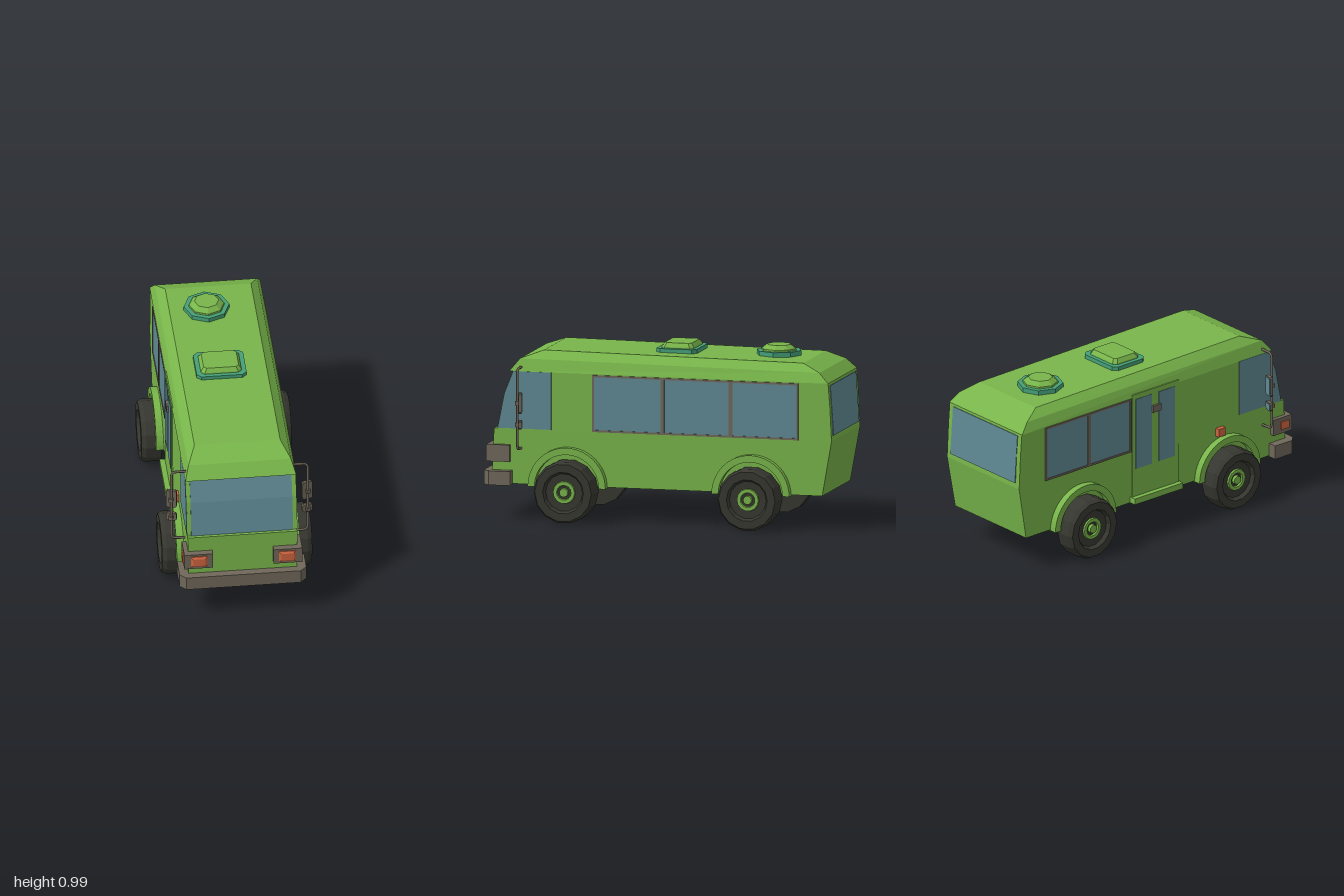
import * as THREE from 'three';

const mat = (name, color, side = THREE.FrontSide) => {
  const m = new THREE.MeshStandardMaterial({ color, side });
  m.name = name;
  return m;
};

export function createModel() {
  const bus = new THREE.Group();
  bus.name = 'bus';
  const green = mat('green paint', 0x78b54a, THREE.DoubleSide);
  const teal = mat('teal trim', 0x45a078);
  const glass = mat('blue glass', 0x5f8993);
  const brown = mat('brown trim', 0x6f675a);
  const rubber = mat('dark rubber', 0x373731);
  const orange = mat('orange lamp', 0xcf6540);

  const add = (name, geo, material, parent = bus) => {
    const m = new THREE.Mesh(geo, material);
    m.name = name;
    parent.add(m);
    return m;
  };
  // box given by its minimum and maximum on each axis
  const box = (name, material, [x0, x1], [y0, y1], [z0, z1], parent = bus) =>
    add(name, new THREE.BoxGeometry(x1 - x0, y1 - y0, z1 - z0)
      .translate((x0 + x1) / 2, (y0 + y1) / 2, (z0 + z1) / 2), material, parent);

  // flat-shaded loft through stacked rings, closed on top
  function loft(rings) {
    const out = [];
    const n = rings[0].length;
    for (let r = 0; r + 1 < rings.length; r++) {
      for (let i = 0; i < n; i++) {
        const j = (i + 1) % n, a = rings[r], b = rings[r + 1];
        out.push(...a[i], ...a[j], ...b[j], ...a[i], ...b[j], ...b[i]);
      }
    }
    const top = rings[rings.length - 1];
    for (let i = 1; i + 1 < n; i++) out.push(...top[0], ...top[i], ...top[i + 1]);
    const g = new THREE.BufferGeometry();
    g.setAttribute('position', new THREE.Float32BufferAttribute(out, 3));
    g.computeVertexNormals();
    return g;
  }
  // side profile of [z, y] points extruded from x0 to x1
  function extrudeX(shape, x0, x1) {
    const s = Array.isArray(shape) ? new THREE.Shape(shape.map(p => new THREE.Vector2(...p))) : shape;
    return new THREE.ExtrudeGeometry(s, { depth: x1 - x0, bevelEnabled: false, curveSegments: 12 })
      .rotateY(-Math.PI / 2).translate(x1, 0, 0);
  }
  // thin plate mounted on a side wall; side is +1 or -1
  const sidePlate = (name, material, side, shape, inner, outer) =>
    add(name, side > 0 ? extrudeX(shape, inner, outer) : extrudeX(shape, -outer, -inner), material);
  const rect = (z0, z1, y0, y1) => [[z0, y0], [z1, y0], [z1, y1], [z0, y1]];

  // body shell, open underneath: [y front, y back, z front, z back, half width]
  const levels = [
    [0.2, 0.2, 0.96, -0.945, 0.302], [0.51, 0.51, 0.945, -1, 0.307], [0.51, 0.51, 0.925, -1, 0.307],
    [0.71, 0.71, 0.885, -0.99, 0.307], [0.835, 0.835, 0.835, -0.98, 0.307], [0.835, 0.835, 0.856, -0.98, 0.31],
    [0.905, 0.89, 0.8, -0.925, 0.287], [0.95, 0.935, 0.675, -0.82, 0.24],
  ];
  add('body', loft(levels.map(([yf, yb, zf, zb, w]) =>
    [[-w, yf, zf], [w, yf, zf], [w, yb, zb], [-w, yb, zb]])), green);

  // windscreen and rear window
  add('windscreen', extrudeX([[0.931, 0.512], [0.89, 0.71], [0.84, 0.834], [0.831, 0.834],
    [0.881, 0.71], [0.921, 0.512]], -0.285, 0.285), glass);
  add('rearWindow', extrudeX([[-0.994, 0.54], [-0.975, 0.82], [-0.985, 0.82], [-1.004, 0.54]],
    -0.275, 0.275), glass);

  // side glazing with framed panes
  function windowRow(side, edges) {
    const [z0, z1] = [edges[0], edges[edges.length - 1]];
    const frame = new THREE.Shape(rect(z0, z1, 0.51, 0.83).map(p => new THREE.Vector2(...p)));
    for (let i = 0; i + 1 < edges.length; i++) {
      const a = edges[i] + 0.011, b = edges[i + 1] - 0.011;
      frame.holes.push(new THREE.Path(rect(a, b, 0.521, 0.819).map(p => new THREE.Vector2(...p))));
    }
    sidePlate('windowFrame', brown, side, frame, 0.303, 0.314);
    sidePlate('sideWindow', glass, side, rect(z0 + 0.005, z1 - 0.005, 0.515, 0.825), 0.302, 0.31);
  }
  windowRow(1, [-0.81, -0.42, -0.027, 0.378]);
  windowRow(-1, [-0.81, -0.49, -0.18]);
  for (const side of [1, -1]) {
    sidePlate('cabWindow', glass, side,
      [[0.615, 0.512], [0.921, 0.512], [0.882, 0.71], [0.833, 0.834], [0.615, 0.834]], 0.302, 0.31);
  }

  // entrance door, step and stair well on the right
  box('stairWell', green, [-0.3, 0], [0.2, 0.84], [-0.18, 0.17]);
  box('doorStep', green, [-0.342, -0.3], [0.2, 0.235], [-0.18, 0.175]);
  sidePlate('door', green, -1, rect(-0.17, 0.17, 0.235, 0.85), 0.304, 0.312);
  sidePlate('doorPane', glass, -1, rect(-0.15, -0.03, 0.4, 0.82), 0.308, 0.315);
  sidePlate('doorPane', glass, -1, rect(0.02, 0.14, 0.4, 0.82), 0.308, 0.315);
  box('doorHandle', brown, [-0.326, -0.31], [0.71, 0.75], [-0.03, 0.03]);

  // wheels and arches
  const tyreProfile = [[0, 0.306], [0.176, 0.308], [0.176, 0.395], [0.163, 0.42], [0.118, 0.42], [0.106, 0.396], [0, 0.39]];
  const rimProfile = [[0.066, 0.388], [0.062, 0.404], [0.042, 0.404], [0.038, 0.388]];
  const capProfile = [[0.026, 0.388], [0.024, 0.41], [0, 0.41]];
  const lathe = pts => {
    const g = new THREE.LatheGeometry(pts.map(p => new THREE.Vector2(...p)), 14).toNonIndexed();
    g.rotateZ(-Math.PI / 2).computeVertexNormals();
    return g;
  };
  for (const z of [0.517, -0.542]) {
    const arch = new THREE.Shape();
    arch.absarc(z, 0.195, 0.224, 0, Math.PI, false);
    arch.absarc(z, 0.195, 0.185, Math.PI, 0, true);
    for (const side of [1, -1]) {
      sidePlate('wheelArch', green, side, arch, 0.295, 0.345);
      const wheel = new THREE.Group();
      wheel.name = 'wheel';
      wheel.position.set(0, 0.176, z);
      if (side < 0) wheel.rotation.y = Math.PI;
      add('tyre', lathe(tyreProfile), rubber, wheel);
      add('rim', lathe(rimProfile), green, wheel);
      add('hubCap', lathe(capProfile), green, wheel);
      bus.add(wheel);
    }
  }

  // bumper wrapped around the nose
  const bumper = new THREE.Shape([[-0.355, 0.84], [-0.355, 0.965], [-0.32, 1], [0.32, 1], [0.355, 0.965],
    [0.355, 0.84], [0.3, 0.84], [0.3, 0.94], [-0.3, 0.94], [-0.3, 0.84]].map(([x, z]) => new THREE.Vector2(x, -z)));
  add('bumper', new THREE.ExtrudeGeometry(bumper, { depth: 0.08, bevelEnabled: false })
    .rotateX(-Math.PI / 2).translate(0, 0.195, 0), brown);

  // headlights with bevelled lenses, and mirrors
  for (const side of [1, -1]) {
    const xs = (a, b) => side > 0 ? [a, b] : [-b, -a];
    box('headlightBox', brown, xs(0.17, 0.33), [0.325, 0.42], [0.85, 0.985]);
    const lens = (w, h, z) => [[-w, -h, z], [w, -h, z], [w, h, z], [-w, h, z]];
    add('headlightLens', loft([lens(0.047, 0.034, 0.984), lens(0.047, 0.034, 0.99), lens(0.034, 0.022, 0.998)])
      .translate(side * 0.247, 0.374, 0), orange);

    const path = new THREE.CurvePath();
    const pts = [[0.3, 0.858], [0.355, 0.858], [0.382, 0.83], [0.382, 0.44], [0.36, 0.405], [0.3, 0.402]]
      .map(([x, y]) => new THREE.Vector3(side * x, y, 0.79));
    path.add(new THREE.LineCurve3(pts[0], pts[1]));
    path.add(new THREE.QuadraticBezierCurve3(pts[1], new THREE.Vector3(side * 0.382, 0.858, 0.79), pts[2]));
    path.add(new THREE.LineCurve3(pts[2], pts[3]));
    path.add(new THREE.QuadraticBezierCurve3(pts[3], new THREE.Vector3(side * 0.382, 0.405, 0.79), pts[4]));
    path.add(new THREE.LineCurve3(pts[4], pts[5]));
    add('mirrorArm', new THREE.TubeGeometry(path, 48, 0.0075, 6), brown);
    for (const [y, h] of [[0.667, 0.057], [0.545, 0.024]]) {
      const mirror = new THREE.Group();
      mirror.name = 'mirror';
      mirror.position.set(side * 0.38, y, 0.775);
      mirror.rotation.y = side * 0.25;
      const c = 0.008, w = 0.03;
      const s = new THREE.Shape([[-w + c, -h], [w - c, -h], [w, -h + c], [w, h - c], [w - c, h], [-w + c, h],
        [-w, h - c], [-w, -h + c]].map(p => new THREE.Vector2(...p)));
      add('mirrorShell', new THREE.ExtrudeGeometry(s, { depth: 0.018, bevelEnabled: false }).translate(0, 0, -0.009), brown, mirror);
      box('mirrorGlass', glass, [-0.024, 0.024], [-h + 0.007, h - 0.007], [-0.012, -0.008], mirror);
      box('mirrorClamp', brown, [-0.012, 0.012], [-0.011, 0.011], [0.005, 0.028], mirror);
      bus.add(mirror);
    }
  }
  // side marker lamps on the right
  box('sideMarker', orange, [-0.333, -0.3], [0.43, 0.478], [0.445, 0.495]);
  box('sideMarker', orange, [-0.337, -0.328], [0.35, 0.395], [0.9, 0.96]);

  // roof hatch with chamfered corners
  const ring = (w, d, c, y) => [[-w + c, y, d], [w - c, y, d], [w, y, d - c], [w, y, -d + c],
    [w - c, y, -d], [-w + c, y, -d], [-w, y, -d + c], [-w, y, d - c]];
  const hatch = new THREE.Group();
  hatch.name = 'roofHatch';
  hatch.position.set(-0.018, 0, -0.052);
  add('hatchFrame', loft([ring(0.14, 0.116, 0.025, 0.93), ring(0.14, 0.116, 0.025, 0.965)]), teal, hatch);
  add('hatchLid', loft([ring(0.115, 0.094, 0.02, 0.96), ring(0.113, 0.092, 0.02, 0.972), ring(0.098, 0.077, 0.016, 0.994)]), green, hatch);
  bus.add(hatch);

  // octagonal roof vent
  const vent = new THREE.Group();
  vent.name = 'roofVent';
  vent.position.set(-0.032, 0, -0.607);
  const disc = (name, material, top, bottom, y0, y1) => {
    const g = new THREE.CylinderGeometry(top, bottom, y1 - y0, 8).toNonIndexed();
    g.translate(0, (y0 + y1) / 2, 0).computeVertexNormals();
    add(name, g, material, vent);
  };
  disc('ventFrame', teal, 0.128, 0.128, 0.925, 0.963);
  disc('ventRim', green, 0.1, 0.102, 0.96, 0.972);
  disc('ventDome', green, 0.068, 0.098, 0.972, 0.995);
  bus.add(vent);

  return bus;
}
